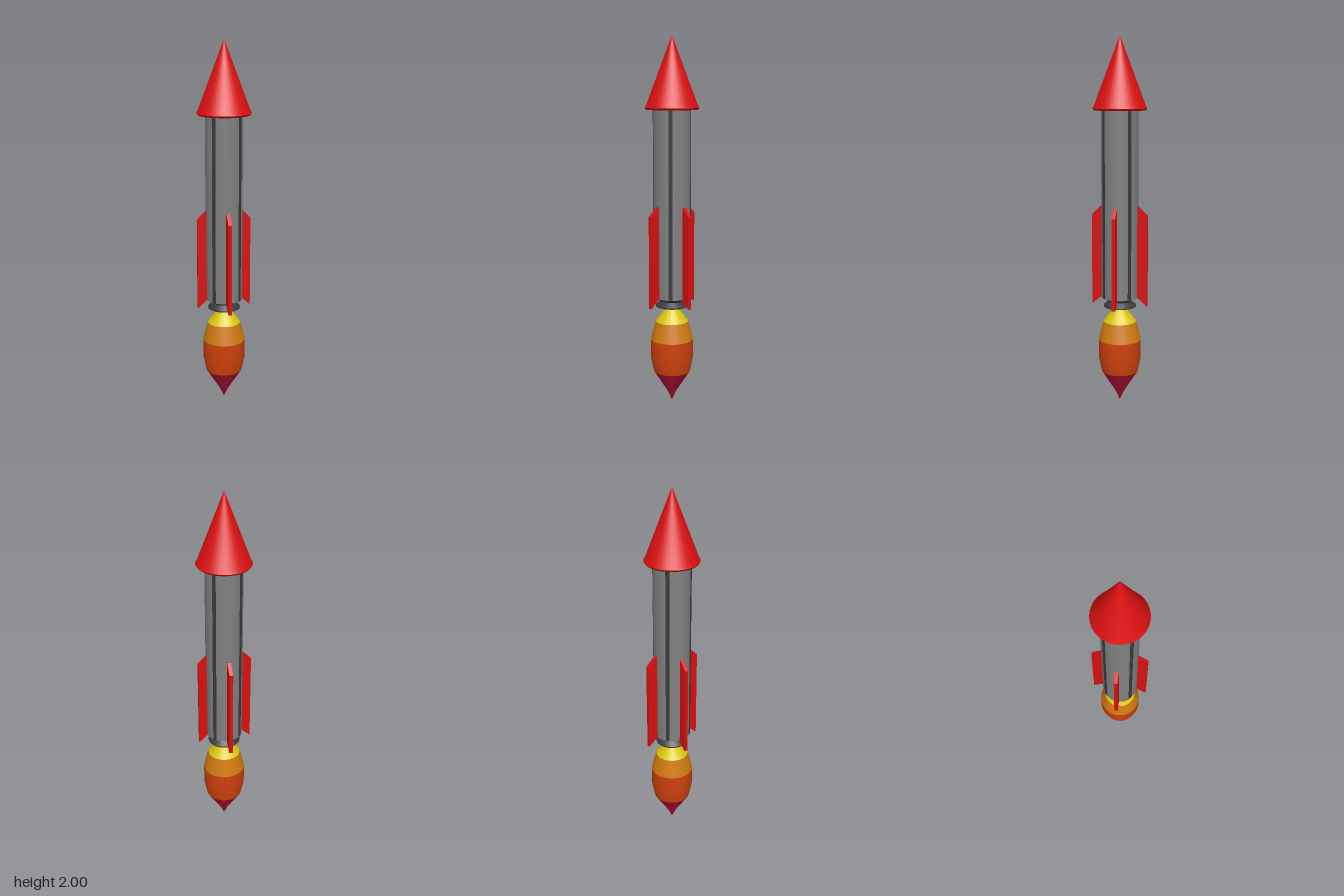
import * as THREE from 'three';
import { toCreasedNormals } from 'three/addons/utils/BufferGeometryUtils.js';

const SEGMENTS = 32;
const paint = (color) => new THREE.MeshStandardMaterial({ color, side: THREE.DoubleSide });
const red = paint(0xd81010);
const grey = paint(0x808080);
const dark = paint(0x3a3a3a);

function add(parent, name, geometry, material) {
  const mesh = new THREE.Mesh(geometry, material);
  mesh.name = name;
  parent.add(mesh);
  return mesh;
}

// Turned part from [radius, height] pairs listed bottom to top
function turned(points, crease = 0.6) {
  const profile = points.map(([r, y]) => new THREE.Vector2(r, y));
  return toCreasedNormals(new THREE.LatheGeometry(profile, SEGMENTS), crease);
}

export function createModel() {
  const rocket = new THREE.Group();
  rocket.name = 'rocket';

  // Nose cone with a small bevelled rim
  add(rocket, 'noseCone', turned([[0, 1.612], [0.138, 1.612], [0.146, 1.622], [0.138, 1.635], [0, 2]]), red);

  // Straight hull
  add(rocket, 'hull', turned([[0, 0.595], [0.1, 0.595], [0.1, 1.615]]), grey);

  // Waisted engine nozzle
  add(rocket, 'nozzle', turned([[0, 0.55], [0.07, 0.55], [0.088, 0.543], [0.088, 0.55], [0.062, 0.574], [0.1, 0.597]]), dark);

  // Fin outline: swept top and bottom corners
  const outline = new THREE.Shape([[0.09, 1.1], [0.1, 1.1], [0.15, 1.05], [0.15, 0.55], [0.1, 0.595], [0.09, 0.595]]
    .map(([x, y]) => new THREE.Vector2(x, y)));
  const finGeometry = new THREE.ExtrudeGeometry(outline, { depth: 0.02, bevelEnabled: false });
  finGeometry.translate(0, 0, -0.01);

  // Four fins, with a dark seam strip midway between each pair
  const reach = [0.145, 0.154, 0.148, 0.154];
  for (let i = 0; i < 4; i++) {
    const fin = add(rocket, 'fin', finGeometry, red);
    fin.rotation.y = i * Math.PI / 2;
    fin.scale.x = reach[i] / 0.15;

    const seam = add(rocket, 'seamStrip', new THREE.BoxGeometry(0.02, 1.015, 0.01), dark);
    const angle = (i + 0.5) * Math.PI / 2;
    seam.position.set(Math.sin(angle) * 0.0965, 1.1045, Math.cos(angle) * 0.0965);
    seam.rotation.y = angle;
  }

  // Exhaust flame in four coloured bands
  const flame = new THREE.Group();
  flame.name = 'flame';
  const bands = [
    ['flameTip', 0xb80f35, [[0, 0], [0.022, 0.05], [0.1, 0.172]]],
    ['flameOuter', 0xd0420e, [[0.1, 0.172], [0.116, 0.25], [0.116, 0.355]]],
    ['flameMiddle', 0xd07a0e, [[0.116, 0.355], [0.09, 0.458]]],
    ['flameCore', 0xd8c80c, [[0.09, 0.458], [0.03, 0.535], [0.022, 0.553]]],
  ];
  for (const [name, color, points] of bands) add(flame, name, turned(points, 0.8), paint(color));
  rocket.add(flame);

  return rocket;
}
